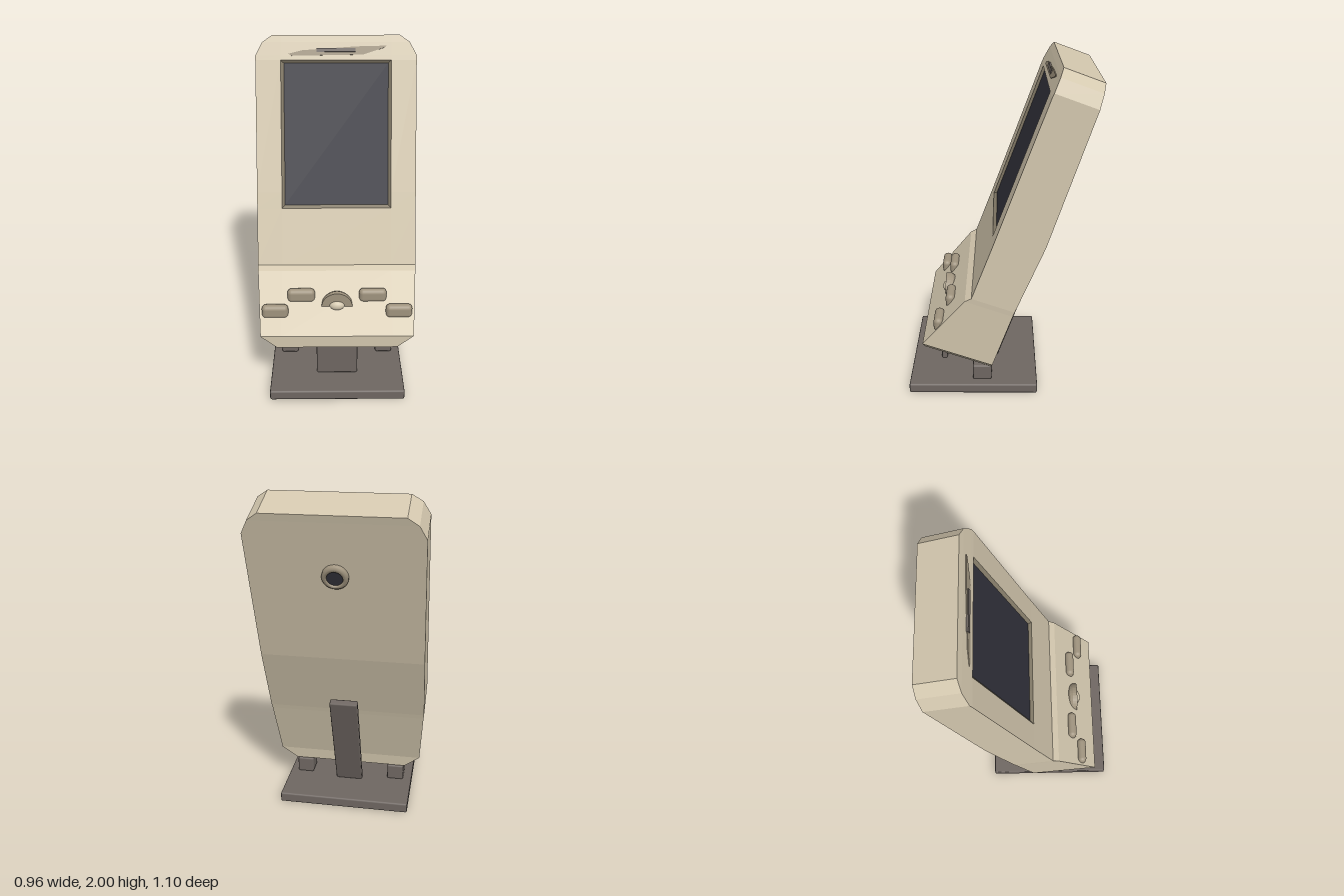
import * as THREE from 'three';
import { RoundedBoxGeometry } from 'three/addons/geometries/RoundedBoxGeometry.js';

const mat = (name, color) => {
  const m = new THREE.MeshStandardMaterial({ color });
  m.name = name;
  return m;
};

// Flat-faced geometry from a list of corner loops (each fanned into triangles)
function facesGeometry(faces) {
  const pos = [];
  for (const f of faces)
    for (let i = 1; i < f.length - 1; i++) pos.push(...f[0], ...f[i], ...f[i + 1]);
  const g = new THREE.BufferGeometry();
  g.setAttribute('position', new THREE.Float32BufferAttribute(pos, 3));
  g.computeVertexNormals();
  return g;
}

export function createModel() {
  const shell = mat('beige shell', 0xd3c7ae);
  const key = mat('taupe keys', 0x9f937e);
  const trim = mat('dark trim', 0x857c69);
  const stone = mat('grey stand', 0x6e6661);
  const glass = mat('dark glass', 0x32323b);

  const model = new THREE.Group();
  const add = (parent, name, geometry, material, x = 0, y = 0, z = 0) => {
    const m = new THREE.Mesh(geometry, material);
    m.name = name;
    m.position.set(x, y, z);
    parent.add(m);
    return m;
  };

  // Device leans back on its stand
  const device = new THREE.Group();
  device.name = 'device';
  device.rotation.x = -THREE.MathUtils.degToRad(20);
  model.add(device);

  // Body cross-sections: height, half width, front depth, back depth
  const sections = [
    [0.14, 0.36, 0.529, 0.105],
    [0.213, 0.455, 0.556, 0.12],
    [0.582, 0.477, 0.419, 0.127],
    [0.613, 0.48, 0.39, 0.127],
    [0.96, 0.48, 0.387, 0.112],
    [1.057, 0.48, 0.387, 0.108],
    [1.844, 0.48, 0.387, 0.135],
    [1.872, 0.48, 0.385, 0.136],
    [1.95, 0.44, 0.379, 0.139],
    [1.993, 0.38, 0.374, 0.14],
  ];
  const sx = 0.33;
  const rings = sections.map(([y, w, f, b]) =>
    [[-w, f], [-sx, f], [sx, f], [w, f], [w, b], [-w, b]].map(([x, z]) => [x, y, z]));
  const faces = [[...rings[0]].reverse(), rings[rings.length - 1]];
  for (let r = 0; r < rings.length - 1; r++)
    for (let i = 0; i < 6; i++) {
      if (i === 1 && (r === 4 || r === 5)) continue; // screen opening
      const j = (i + 1) % 6;
      faces.push([rings[r][i], rings[r][j], rings[r + 1][j], rings[r + 1][i]]);
    }
  add(device, 'body', facesGeometry(faces), shell);

  // Recessed screen with sloping frame
  const rect = (w, y0, y1, z) => [[-w, y0, z], [w, y0, z], [w, y1, z], [-w, y1, z]];
  const outer = rect(sx, 0.96, 1.844, 0.387);
  const inner = rect(0.312, 0.98, 1.828, 0.372);
  add(device, 'screenFrame', facesGeometry(outer.map((p, i) => {
    const j = (i + 1) % 4;
    return [p, outer[j], inner[j], inner[i]];
  })), trim);
  add(device, 'screen', facesGeometry([inner]), glass);

  // Earpiece: slanted sliver and slot
  const sliver = new THREE.Shape([
    [-0.285, -0.018], [-0.265, -0.03], [0.16, -0.024], [0.29, 0.018], [0.3, 0.028], [0.12, 0.024], [-0.2, 0.002],
  ].map(([x, y]) => new THREE.Vector2(x, y)));
  add(device, 'earpieceSliver',
    new THREE.ExtrudeGeometry(sliver, { depth: 0.006, bevelEnabled: false }), key, 0, 1.9, 0.381);
  add(device, 'earpieceSlot', new THREE.BoxGeometry(0.23, 0.022, 0.02), stone, 0, 1.903, 0.383);

  // Rear camera
  const ring = new THREE.LatheGeometry(
    [[0.045, 0.028], [0.045, 0], [0.062, 0], [0.073, 0.01], [0.073, 0.04]].map(([x, y]) => new THREE.Vector2(x, -y)).reverse(), 24);
  add(device, 'cameraRing', ring, key, 0, 1.633, 0.1).rotation.x = -Math.PI / 2;
  add(device, 'cameraLens', new THREE.CylinderGeometry(0.047, 0.047, 0.02, 24), glass,
    0, 1.633, 0.116).rotation.x = -Math.PI / 2;

  // Keys on the sloping keypad
  for (const s of [-1, 1]) {
    add(model, 'innerKey', new RoundedBoxGeometry(0.165, 0.085, 0.055, 4, 0.026), key, s * 0.215, 0.58, 0.293);
    add(model, 'outerKey', new RoundedBoxGeometry(0.158, 0.085, 0.055, 4, 0.026), key, s * 0.37, 0.508, 0.355);
  }
  const wheel = new THREE.LatheGeometry(
    [[0, -0.028], [0.07, -0.028], [0.085, -0.018], [0.093, 0], [0.093, 0.028], [0, 0.028]].map(([x, y]) => new THREE.Vector2(x, y)), 32);
  wheel.rotateX(Math.PI / 2);
  const flatWheel = wheel.toNonIndexed();
  flatWheel.computeVertexNormals();
  add(model, 'centreWheel', flatWheel, key, 0, 0.52, 0.307);
  add(model, 'centreButton', new THREE.SphereGeometry(1, 20, 14), shell, 0, 0.53, 0.325).scale.set(0.047, 0.032, 0.032);

  // Stand: base plate, front post, feet and leaning rear strut
  const block = (name, w, h, d, x, y, z) =>
    add(model, name, new RoundedBoxGeometry(w, h, d, 1, 0.01), stone, x, y, z);
  block('basePlate', 0.81, 0.062, 0.785, 0, 0.031, 0.1575);
  block('frontPost', 0.25, 0.26, 0.035, 0, 0.19, 0.352);
  for (const s of [-1, 1]) block('foot', 0.105, 0.1, 0.115, s * 0.3, 0.113, 0.103);
  block('rearStrut', 0.17, 0.7, 0.045, 0, 0.395, -0.085).rotation.x = -THREE.MathUtils.degToRad(19.5);

  return model;
}
